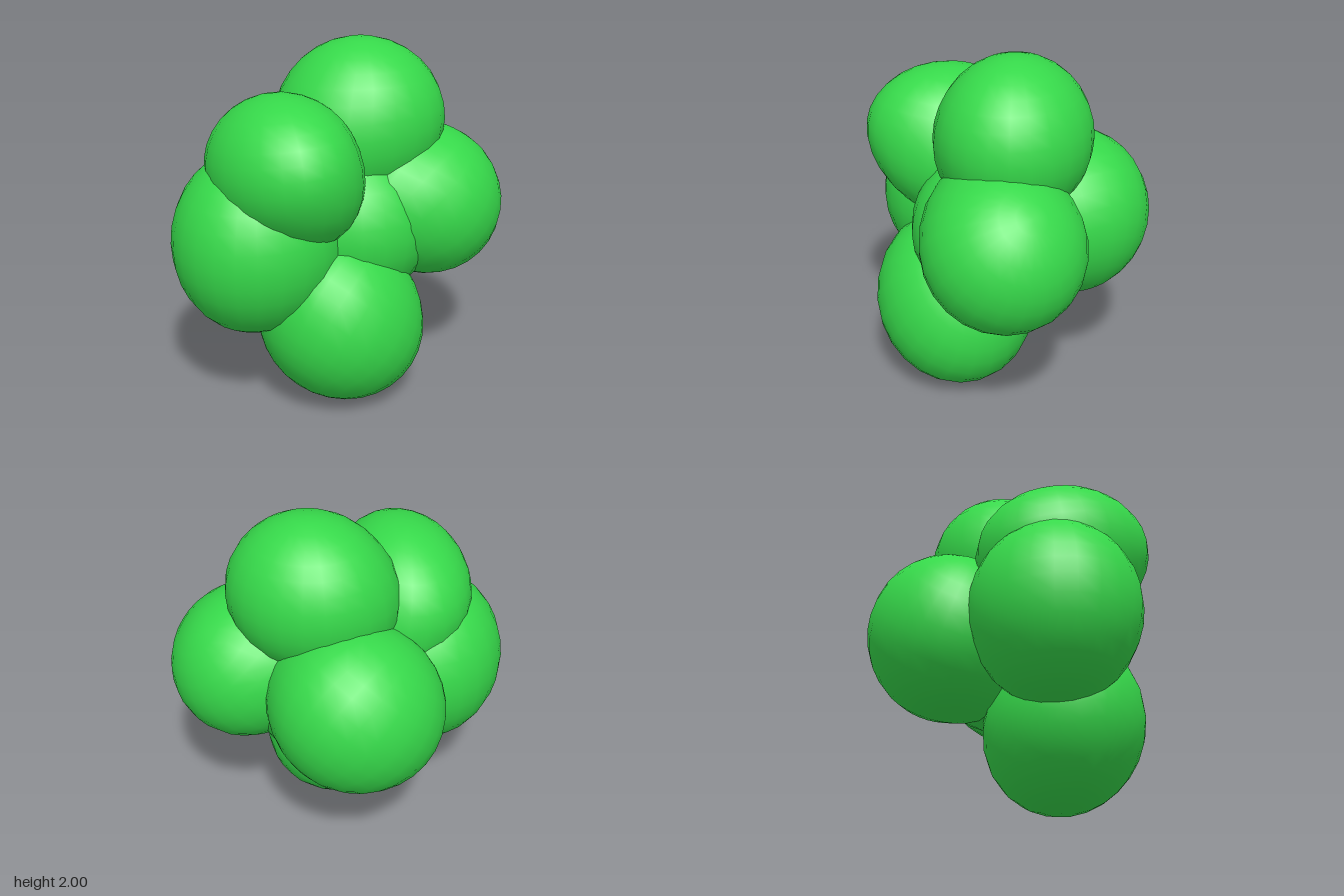
import * as THREE from 'three';
import { mergeVertices } from 'three/addons/utils/BufferGeometryUtils.js';

// Turned ellipsoid whose side facing the bulge direction is pushed out along it
function lobeGeometry(radii, turn, bulge) {
  const sphere = new THREE.SphereGeometry(1, 24, 16);
  sphere.deleteAttribute('uv');
  sphere.deleteAttribute('normal');
  const geometry = mergeVertices(sphere);
  const push = new THREE.Vector3(...bulge);
  const direction = push.clone().normalize();
  const rotation = new THREE.Euler(...turn);
  const size = new THREE.Vector3(...radii);
  const position = geometry.attributes.position;
  const v = new THREE.Vector3();
  for (let i = 0; i < position.count; i++) {
    v.fromBufferAttribute(position, i).applyEuler(rotation);
    const amount = Math.max(0, v.dot(direction));
    v.fromBufferAttribute(position, i).multiply(size).applyEuler(rotation);
    v.addScaledVector(push, amount);
    position.setXYZ(i, v.x, v.y, v.z);
  }
  geometry.computeVertexNormals();
  return geometry;
}

// Cluster of overlapping rounded lobes around a core
export function createModel() {
  const group = new THREE.Group();
  const material = new THREE.MeshStandardMaterial({ color: 0x36d94a });
  const q = Math.PI / 4;

  // name, centre, radii, turn, inward bulge
  const lobes = [
    ['core', [0.12, 0.99, 0.09], [0.49, 0.49, 0.535], [0, 0, 0], [0, 0, 0]],
    ['topLobe', [0.22, 1.555, 0.09], [0.425, 0.445, 0.47], [0, q, 0], [-0.06, -0.05, 0]],
    ['upperRightLobe', [-0.38, 1.4, 0.17], [0.395, 0.395, 0.5], [-0.18, -0.16, 0], [0.07, -0.1, 0]],
    ['rightLobe', [-0.49, 0.97, 0.05], [0.445, 0.515, 0.48], [0, -q, 0], [0.05, 0, 0.03]],
    ['leftLobe', [0.515, 1.065, 0.31], [0.455, 0.43, 0.445], [0, 0, -q], [-0.15, 0.03, -0.05]],
    ['bottomLobe', [-0.085, 0.475, 0.315], [0.5, 0.445, 0.45], [0, 0, -0.75], [0, 0.05, 0]],
    ['backLobe', [0.12, 0.995, -0.305], [0.515, 0.475, 0.46], [0, 0, q], [0, 0, 0.12]],
  ];

  for (const [name, centre, radii, turn, bulge] of lobes) {
    const lobe = new THREE.Mesh(lobeGeometry(radii, turn, bulge), material);
    lobe.name = name;
    lobe.position.set(...centre);
    group.add(lobe);
  }
  return group;
}
